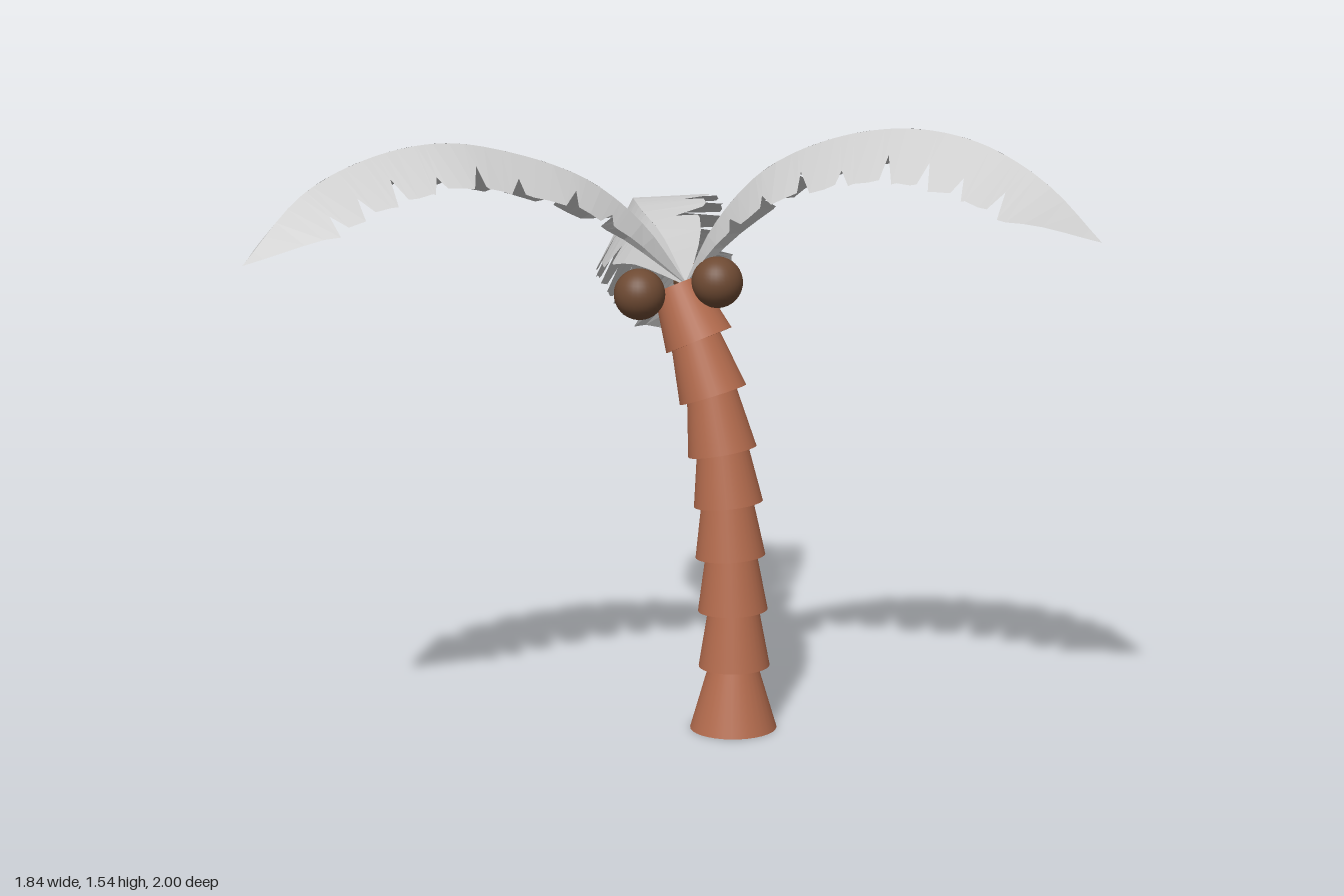
import * as THREE from 'three';

const bark = new THREE.MeshStandardMaterial({ color: 0xb46c4e });
bark.name = 'bark brown';
const shell = new THREE.MeshStandardMaterial({ color: 0x6e4a33 });
shell.name = 'coconut brown';
const leaf = new THREE.MeshStandardMaterial({ color: 0xcccccc, flatShading: true, side: THREE.DoubleSide });
leaf.name = 'leaf grey';

// Half width of a frond along its rib
const WIDTHS = [[0, 0.01], [0.08, 0.09], [0.2, 0.165], [0.4, 0.205], [0.65, 0.2], [0.83, 0.165], [1, 0]];
function halfWidth(t) {
  for (let i = 1; i < WIDTHS.length; i++) {
    const [t0, w0] = WIDTHS[i - 1], [t1, w1] = WIDTHS[i];
    if (t <= t1) return w0 + (w1 - w0) * (t - t0) / (t1 - t0);
  }
  return 0;
}

// Slit positions along each side of a frond, with their depth
const SLITS = {
  1: [[0.16, 0.5], [0.25, 0.65], [0.35, 0.5], [0.44, 0.7], [0.54, 0.5], [0.63, 0.55], [0.71, 0.65], [0.8, 0.55]],
  '-1': [[0.19, 0.6], [0.28, 0.5], [0.4, 0.6], [0.49, 0.5], [0.58, 0.7], [0.67, 0.5], [0.75, 0.6], [0.82, 0.6]],
};

// Edge of one side as [t, width], dipping inwards at every slit
function sideProfile(side) {
  const slits = SLITS[side];
  const rows = [];
  for (let i = 0; i <= 30; i++) {
    const t = i / 30;
    if (!slits.some(([s]) => Math.abs(s - t) < 0.02)) rows.push([t, halfWidth(t)]);
  }
  for (const [s, depth] of slits) {
    rows.push([s - 0.015, halfWidth(s - 0.015) * 0.96], [s, halfWidth(s) * depth], [s + 0.015, halfWidth(s + 0.015) * 1.03]);
  }
  return rows.sort((a, b) => a[0] - b[0]);
}

// Frond folded along a curved rib; roll turns it about the rib
function frond(name, points, roll, scale) {
  const rib = new THREE.CatmullRomCurve3(points.map((p) => new THREE.Vector3(...p)));
  const up = new THREE.Vector3(0, 1, 0);
  const positions = [], index = [];
  for (const side of [1, -1]) {
    const angle = -0.53 + side * roll;
    const start = positions.length / 3;
    sideProfile(side).forEach(([t, w], i) => {
      const p = rib.getPointAt(t), along = rib.getTangentAt(t);
      const across = new THREE.Vector3().crossVectors(along, up).normalize();
      const normal = new THREE.Vector3().crossVectors(across, along);
      const q = p.clone()
        .addScaledVector(across, side * Math.cos(angle) * w * scale)
        .addScaledVector(normal, Math.sin(angle) * w * scale)
        .addScaledVector(along, 0.22 * w);
      positions.push(p.x, p.y, p.z, q.x, q.y, q.z);
      if (i === 0) return;
      const b = start + i * 2, a = b - 2;
      if (side > 0) index.push(a, a + 1, b, b, a + 1, b + 1);
      else index.push(a, b, a + 1, b, b + 1, a + 1);
    });
  }
  const geometry = new THREE.BufferGeometry();
  geometry.setAttribute('position', new THREE.Float32BufferAttribute(positions, 3));
  geometry.setIndex(index);
  geometry.computeVertexNormals();
  const mesh = new THREE.Mesh(geometry, leaf);
  mesh.name = name;
  return mesh;
}

export function createModel() {
  const model = new THREE.Group();
  model.name = 'palmTree';

  // Trunk: flared sections stacked along a bend, as x, y, tilt, bottom radius
  const trunk = new THREE.Group();
  trunk.name = 'trunk';
  const sections = [
    [-0.053, 0, 0, 0.11], [-0.051, 0.163, 0.01, 0.09], [-0.055, 0.308, 0.03, 0.088], [-0.062, 0.447, 0.06, 0.088],
    [-0.068, 0.581, 0.11, 0.087], [-0.085, 0.713, 0.19, 0.087], [-0.111, 0.855, 0.33, 0.087], [-0.15, 0.99, 0.42, 0.088],
  ];
  sections.forEach(([x, y, tilt, radius], i) => {
    const height = i === 7 ? 0.15 : 0.17;
    const geometry = new THREE.CylinderGeometry(0.06, radius, height, 32);
    geometry.translate(0, height / 2, 0);
    const mesh = new THREE.Mesh(geometry, bark);
    mesh.name = `trunkSection${i + 1}`;
    mesh.position.set(x, y, 0.083 - i * 0.0013);
    mesh.rotation.z = tilt;
    trunk.add(mesh);
  });
  model.add(trunk);

  // Coconuts around the crown
  const nuts = [[-0.27, 1.112, 0.163, 0.064], [-0.1, 1.14, 0.072, 0.064], [-0.22, 1.118, -0.035, 0.047]];
  nuts.forEach(([x, y, z, r], i) => {
    const mesh = new THREE.Mesh(new THREE.SphereGeometry(r, 32, 20), shell);
    mesh.name = `coconut${i + 1}`;
    mesh.position.set(x, y, z);
    model.add(mesh);
  });

  // Three arching fronds
  model.add(frond('leftFrond', [
    [-0.2, 1.13, 0.045], [-0.125, 1.275, 0.042], [0.01, 1.42, 0.04], [0.2, 1.51, 0.04],
    [0.405, 1.543, 0.043], [0.59, 1.515, 0.052], [0.757, 1.43, 0.065], [0.898, 1.303, 0.08],
  ], -0.05, 1));
  model.add(frond('backFrond', [
    [-0.2, 1.13, 0.045], [-0.3, 1.23, -0.03], [-0.394, 1.275, -0.11], [-0.5, 1.285, -0.265],
    [-0.595, 1.22, -0.5], [-0.66, 1.11, -0.714], [-0.67, 0.97, -0.87], [-0.648, 0.77, -1],
  ], 0.56, 1.08));
  model.add(frond('rightFrond', [
    [-0.2, 1.13, 0.045], [-0.285, 1.28, 0.11], [-0.394, 1.4, 0.21], [-0.553, 1.485, 0.385],
    [-0.645, 1.506, 0.51], [-0.745, 1.48, 0.66], [-0.825, 1.41, 0.82], [-0.878, 1.265, 1],
  ], -0.08, 1));

  return model;
}
